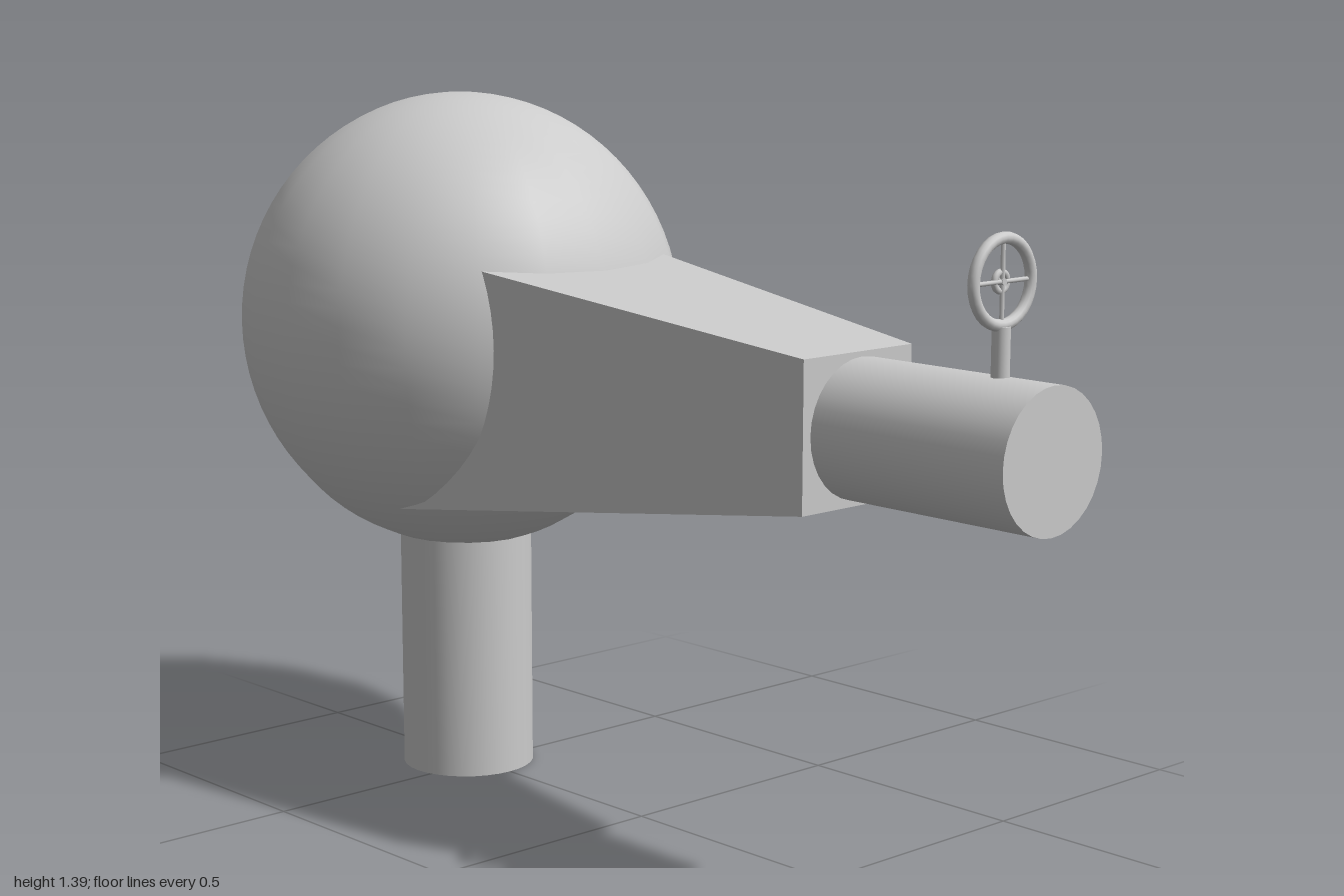
import * as THREE from 'three';

export function createModel() {
  const model = new THREE.Group();
  const material = new THREE.MeshStandardMaterial({ color: 0xcccccc });

  function add(parent, name, geometry, x = 0, y = 0, z = 0) {
    const mesh = new THREE.Mesh(geometry, material);
    mesh.name = name;
    mesh.position.set(x, y, z);
    parent.add(mesh);
    return mesh;
  }

  // Slightly narrow round tank, faceted around its vertical axis
  add(model, 'tank', new THREE.SphereGeometry(0.46, 20, 40), 0, 0.93, -0.54).scale.x = 0.955;

  // Upright column below the tank
  add(model, 'column', new THREE.CylinderGeometry(0.135, 0.135, 0.54, 32), 0, 0.27, -0.537);

  // Square duct, narrowing from inside the tank towards the front
  const frontZ = 0.57, backZ = -0.43;
  const duct = new THREE.BoxGeometry(1, 1, frontZ - backZ);
  const p = duct.attributes.position;
  for (let i = 0; i < p.count; i++) {
    const size = p.getZ(i) > 0 ? 0.275 : 0.519;
    p.setXY(i, p.getX(i) * size, p.getY(i) * size);
  }
  duct.computeVertexNormals();
  add(model, 'duct', duct, -0.009, 0.848, (frontZ + backZ) / 2);

  // Outlet pipe
  const pipe = new THREE.CylinderGeometry(0.128, 0.128, 0.46, 32).rotateX(Math.PI / 2);
  add(model, 'outletPipe', pipe, 0, 0.848, 0.77);

  // Valve: stem, rim, ring hub and four spokes
  const valve = new THREE.Group();
  valve.name = 'valve';
  valve.position.set(0.003, 1.135, 0.88);
  model.add(valve);
  add(valve, 'valveStem', new THREE.CylinderGeometry(0.016, 0.016, 0.11, 16), 0, -0.13, 0);
  add(valve, 'wheelRim', new THREE.TorusGeometry(0.073, 0.0105, 12, 32));
  add(valve, 'wheelHub', new THREE.TorusGeometry(0.016, 0.006, 10, 20), 0, 0, -0.004);
  add(valve, 'hubPin', new THREE.CylinderGeometry(0.006, 0.006, 0.022, 12).rotateX(Math.PI / 2), 0, 0, -0.006);
  for (let i = 0; i < 4; i++) {
    const spoke = new THREE.CylinderGeometry(0.004, 0.004, 0.07, 8)
      .translate(0, 0.035, 0).rotateZ(i * Math.PI / 2);
    add(valve, 'wheelSpoke', spoke);
  }

  return model;
}
